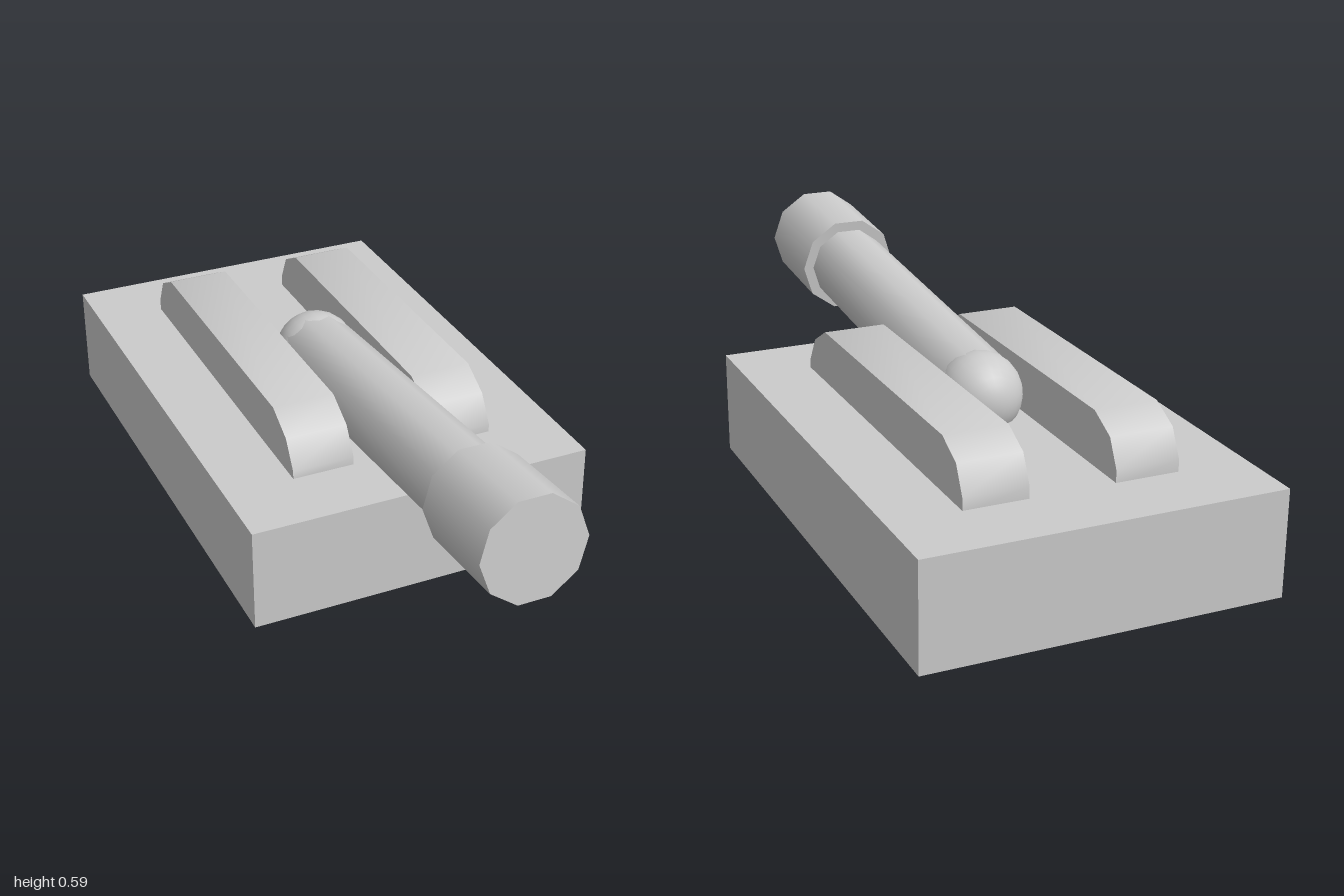
import * as THREE from 'three';
import { toCreasedNormals } from 'three/addons/utils/BufferGeometryUtils.js';

export function createModel() {
  const group = new THREE.Group();
  const material = new THREE.MeshStandardMaterial({ color: 0xcccccc });
  const add = (name, geometry, parent = group) => {
    const mesh = new THREE.Mesh(geometry, material);
    mesh.name = name;
    parent.add(mesh);
    return mesh;
  };

  // Base block
  add('base', new THREE.BoxGeometry(0.956, 0.288, 1.436)).position.set(0, 0.144, -0.282);

  // Side rails: bevelled profile in (z, y), extruded across x
  const profile = [
    [0.245, 0.28], [0.245, 0.31], [0.2, 0.385], [0.115, 0.433],
    [-0.69, 0.433], [-0.77, 0.393], [-0.807, 0.32], [-0.807, 0.28],
  ].map(([z, y]) => new THREE.Vector2(z, y));
  const width = 0.172;
  const extruded = new THREE.ExtrudeGeometry(new THREE.Shape(profile), { depth: width, bevelEnabled: false });
  extruded.rotateY(-Math.PI / 2).translate(width / 2, 0, 0);
  const railGeometry = toCreasedNormals(extruded, 0.7);
  for (const [name, side] of [['leftRail', 1], ['rightRail', -1]]) {
    add(name, railGeometry).position.x = side * 0.201;
  }

  // Barrel assembly: local +y runs forward and slightly up from the pivot ball
  const barrel = new THREE.Group();
  barrel.name = 'barrelAssembly';
  barrel.position.set(0, 0.347, -0.27);
  barrel.rotation.x = Math.PI / 2 - 0.088;
  group.add(barrel);

  // Ten-sided section with flats on top and bottom
  const section = (radius, from, to) =>
    new THREE.CylinderGeometry(radius, radius, to - from, 10, 1, false, Math.PI / 2)
      .translate(0, (from + to) / 2, 0);
  add('pivotBall', new THREE.SphereGeometry(0.115, 24, 16), barrel);
  add('barrel', section(0.113, 0, 1.0), barrel);
  add('muzzle', section(0.143, 0.976, 1.263), barrel);

  return group;
}
